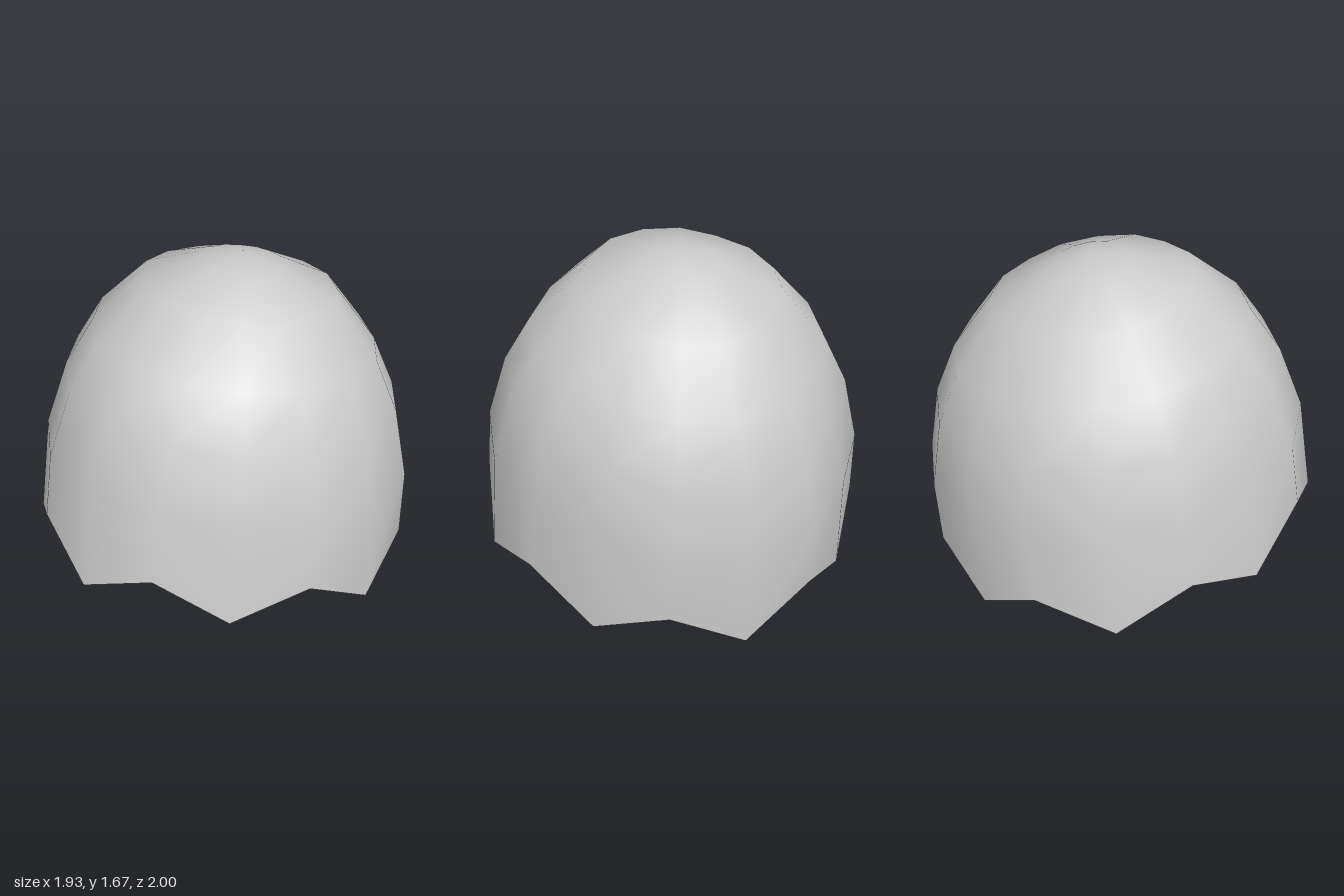
import * as THREE from 'three';
import { mergeVertices } from 'three/addons/utils/BufferGeometryUtils.js';

const SIDES = 16;
const WIDTH = 0.966; // shell is slightly narrower than it is deep
const NOTCH = 0.186; // height of the zigzag notches

// Rings from rim to crown: [height, radius, forward shift]
const outerRings = [
  [0, 1.0, 0.009], [0.525, 0.967, 0.04], [0.865, 0.87, 0.06], [1.11, 0.735, 0.075],
  [1.36, 0.5, 0.084], [1.475, 0.205, 0.085], [1.52, 0, 0.09],
];
const innerRings = [
  [-0.015, 0.89, 0.009], [0.51, 0.86, 0.04], [0.81, 0.775, 0.06], [1.03, 0.65, 0.075],
  [1.26, 0.43, 0.084], [1.37, 0.17, 0.085], [1.41, 0, 0.09],
];

// One closed ring of corners, a touch flattened on the diagonals
function ringPoints(ring, notched, next) {
  return Array.from({ length: SIDES }, (_, j) => {
    let [h, r, shift] = ring;
    if (notched && j % 2 === 1) {
      const t = NOTCH / (next[0] - h);
      h += NOTCH;
      r += (next[1] - r) * t;
      shift += (next[2] - shift) * t;
    }
    const a = (j / SIDES) * Math.PI * 2;
    const k = j % 4 === 2 ? 0.968 : 1;
    return [Math.sin(a) * r * k * WIDTH, h, Math.cos(a) * r * k + shift];
  });
}

const shellRows = (rings) => rings.map((ring, i) => ringPoints(ring, i === 0, rings[1]));

// Skin a stack of closed rings
function skin(rows, { flip = false, smooth = true } = {}) {
  const index = [];
  for (let i = 0; i < rows.length - 1; i++) {
    for (let j = 0; j < SIDES; j++) {
      const k = (j + 1) % SIDES;
      const a = i * SIDES + j, b = i * SIDES + k;
      const c = b + SIDES, d = a + SIDES;
      const last = smooth && i === rows.length - 2; // crown closes to one point
      const tris = last ? [[a, b, d]] : [[a, b, c], [a, c, d]];
      for (const t of tris) index.push(...(flip ? t.reverse() : t));
    }
  }
  let geometry = new THREE.BufferGeometry();
  geometry.setAttribute('position', new THREE.Float32BufferAttribute(rows.flat(2), 3));
  geometry.setIndex(index);
  geometry = smooth ? mergeVertices(geometry) : geometry.toNonIndexed();
  geometry.computeVertexNormals();
  return geometry;
}

export function createModel() {
  const material = new THREE.MeshStandardMaterial({ color: 0xcccccc });
  const shell = new THREE.Group();
  shell.name = 'eggshell';
  const add = (name, geometry) => {
    const mesh = new THREE.Mesh(geometry, material);
    mesh.name = name;
    shell.add(mesh);
  };

  const outer = shellRows(outerRings);
  const inner = shellRows(innerRings);
  add('outerShell', skin(outer));
  add('innerShell', skin(inner, { flip: true }));
  add('zigzagRim', skin([inner[0], outer[0]], { smooth: false }));

  // The cap leans back, front edge raised
  shell.rotation.x = -0.161;
  shell.position.y = 0.16;

  const model = new THREE.Group();
  model.name = 'crackedEggshell';
  model.add(shell);
  return model;
}
